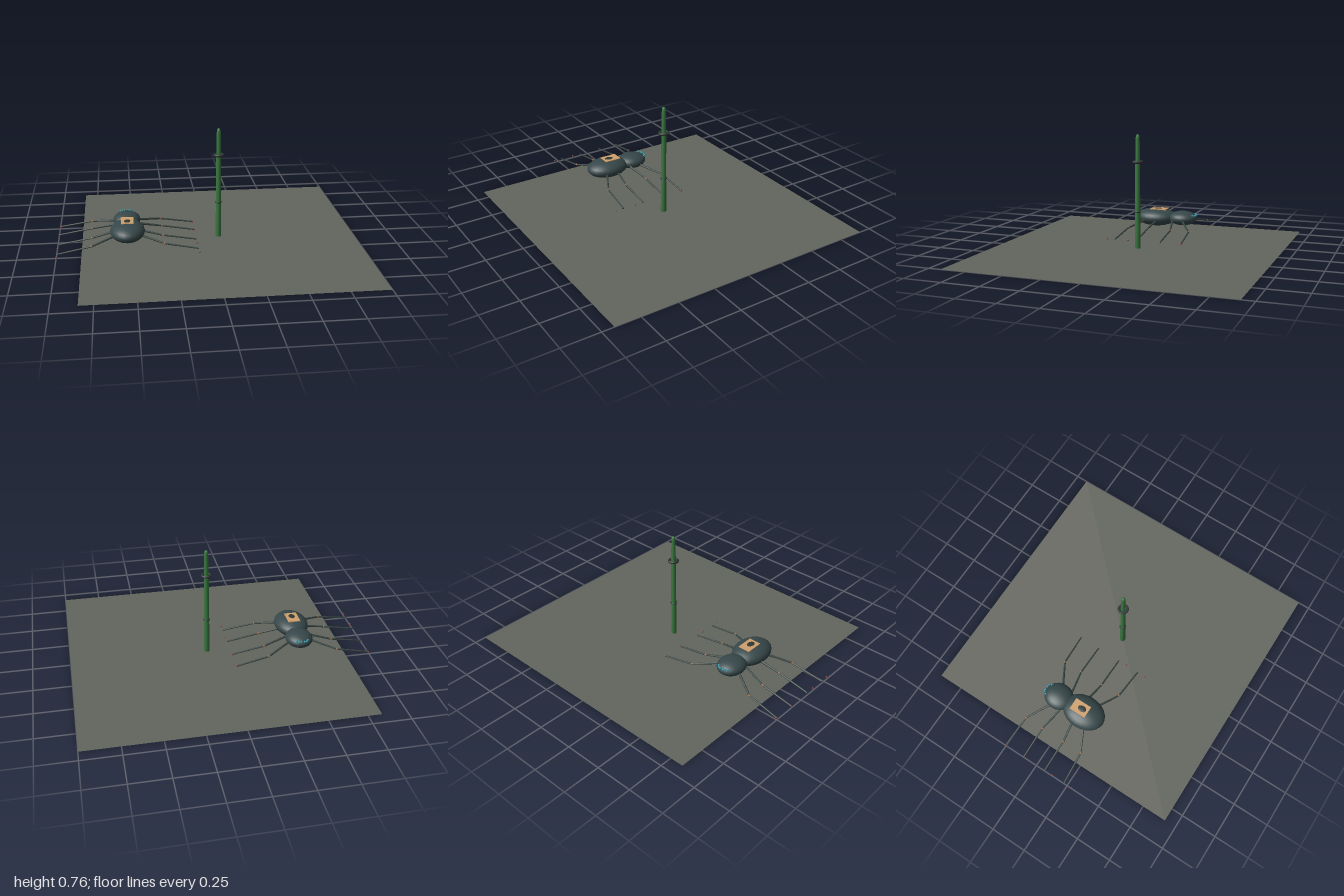
import * as THREE from 'three';

const mat = (color, extra = {}) => new THREE.MeshStandardMaterial({ color, ...extra });
const shellMat = mat(0x37484a);
const legMat = mat(0x3a4744);
const kneeMat = mat(0xa8704a);
const footMat = mat(0x9a4038);
const eyeMat = mat(0x2f93a5);
const patchMat = mat(0xcfa06c);
const darkMat = mat(0x2f3836);
const greenMat = mat(0x3a7840);
const groundMat = mat(0x63665e, { side: THREE.DoubleSide });

function add(parent, name, geometry, material, x = 0, y = 0, z = 0) {
  const mesh = new THREE.Mesh(geometry, material);
  mesh.name = name;
  mesh.position.set(x, y, z);
  parent.add(mesh);
  return mesh;
}

function ellipsoid(parent, name, material, pos, radii, w = 24, h = 16) {
  const mesh = add(parent, name, new THREE.SphereGeometry(1, w, h), material, ...pos);
  mesh.scale.set(...radii);
  return mesh;
}

// Tapered rod between two points
function rod(parent, name, a, b, r0, r1) {
  const from = new THREE.Vector3(...a), to = new THREE.Vector3(...b);
  const dir = to.clone().sub(from);
  const mesh = add(parent, name, new THREE.CylinderGeometry(r1, r0, dir.length(), 8), legMat);
  mesh.position.copy(from).add(to).multiplyScalar(0.5);
  mesh.quaternion.setFromUnitVectors(new THREE.Vector3(0, 1, 0), dir.normalize());
}

function createSpider() {
  const spider = new THREE.Group();
  spider.name = 'spider';
  spider.position.x = -0.538;

  // Body
  ellipsoid(spider, 'abdomen', shellMat, [0, 0.103, 0.083], [0.115, 0.063, 0.153]);
  ellipsoid(spider, 'head', shellMat, [0, 0.105, -0.12], [0.092, 0.051, 0.105]);

  // Back marking
  add(spider, 'backPatch', new THREE.BoxGeometry(0.084, 0.006, 0.118), patchMat, 0, 0.163, 0.057);
  ellipsoid(spider, 'backSpot', darkMat, [0, 0.166, 0.07], [0.021, 0.003, 0.03], 16, 8);

  // Eyes in an arc on the brow
  for (const s of [-1, 1]) {
    for (const [x, y, z] of [[0.012, 0.13, -0.221], [0.026, 0.13, -0.217], [0.038, 0.13, -0.203]]) {
      ellipsoid(spider, 'eye', eyeMat, [s * x, y, z], [0.008, 0.008, 0.008], 10, 8);
    }
  }

  // Legs: z of root, knee, tip and foot
  const legs = [
    [-0.14, -0.235, -0.25, -0.25],
    [-0.065, -0.1, -0.102, -0.102],
    [0.05, 0.07, 0.068, 0.13],
    [0.13, 0.212, 0.225, 0.282],
  ];
  for (const s of [-1, 1]) {
    for (const [rootZ, kneeZ, tipZ, footZ] of legs) {
      const leg = new THREE.Group();
      leg.name = 'leg';
      spider.add(leg);
      const root = [s * 0.075, 0.093, rootZ];
      const knee = [s * 0.237, 0.055, kneeZ];
      const tip = [s * 0.459, 0.016, tipZ];
      rod(leg, 'upperLeg', root, knee, 0.008, 0.006);
      rod(leg, 'lowerLeg', knee, tip, 0.006, 0.005);
      ellipsoid(leg, 'knee', kneeMat, knee, [0.008, 0.008, 0.008], 10, 8);
      ellipsoid(leg, 'foot', footMat, [s * 0.459, 0.015, footZ], [0.006, 0.006, 0.006], 10, 8);
    }
  }
  return spider;
}

function createPost() {
  const post = new THREE.Group();
  post.name = 'post';
  post.position.x = 0.077;

  // Tapering stem with a rounded tip
  const profile = [
    [0, 0.004], [0.019, 0.004], [0.0175, 0.25], [0.016, 0.58],
    [0.0135, 0.735], [0.012, 0.75], [0.007, 0.759], [0, 0.762],
  ].map(([r, y]) => new THREE.Vector2(r, y));
  add(post, 'stem', new THREE.LatheGeometry(profile, 12), greenMat);

  // Collars
  for (const [name, y, r, tube] of [['lowerCollar', 0.25, 0.0195, 0.004], ['upperCollar', 0.58, 0.028, 0.009]]) {
    const ring = add(post, name, new THREE.TorusGeometry(r, tube, 8, 12), darkMat, 0, y, 0);
    ring.rotation.x = Math.PI / 2;
  }
  return post;
}

export function createModel() {
  const model = new THREE.Group();
  model.name = 'spiderScene';
  const ground = add(model, 'groundSheet', new THREE.PlaneGeometry(1.84, 1.84), groundMat, 0.08, 0, 0);
  ground.rotation.x = -Math.PI / 2;
  model.add(createSpider(), createPost());
  return model;
}
